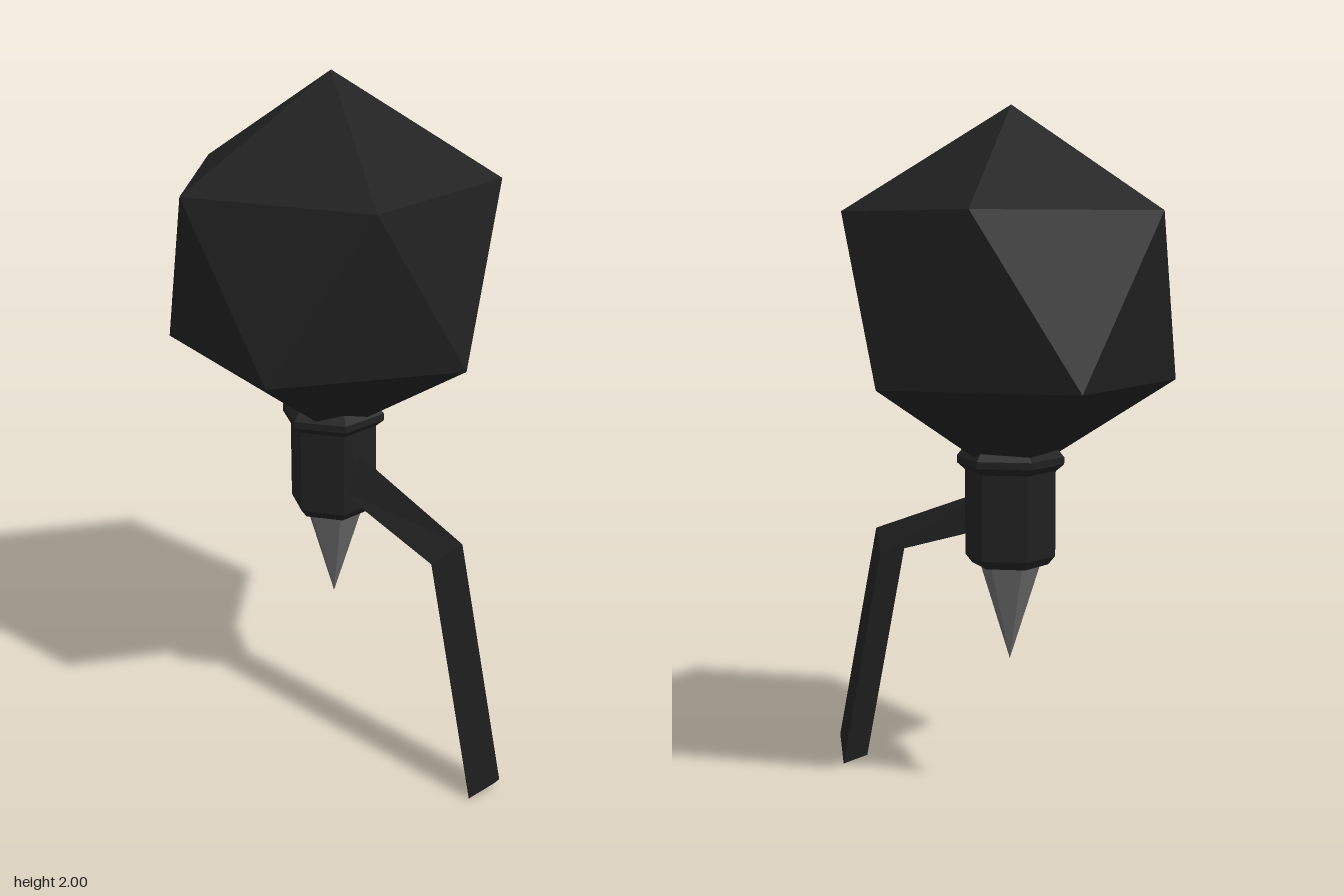
import * as THREE from 'three';

const AXIS_X = -0.105; // vertical axis of the ball, neck and spike

const black = new THREE.MeshStandardMaterial({ color: 0x202020 });
black.name = 'black';
const steel = new THREE.MeshStandardMaterial({ color: 0x686868 });
steel.name = 'steelGrey';

// Faceted mesh: every triangle gets its own flat normal
function facetedMesh(name, geometry, material) {
  const flat = geometry.index ? geometry.toNonIndexed() : geometry;
  flat.computeVertexNormals();
  const mesh = new THREE.Mesh(flat, material);
  mesh.name = name;
  return mesh;
}

// Six-sided turned part from [radius, y] pairs, bottom to top
function hexTurned(profile) {
  return new THREE.LatheGeometry(profile.map(([r, y]) => new THREE.Vector2(r, y)), 6);
}

// Triangular bar: each station is [outer ridge x, y, inner face x, y]
function triangularBar(stations, halfWidth) {
  const positions = [];
  const index = [];
  for (const [ox, oy, ix, iy] of stations) {
    positions.push(ox, oy, 0, ix, iy, halfWidth, ix, iy, -halfWidth);
  }
  for (let i = 0; i < stations.length - 1; i++) {
    for (let k = 0; k < 3; k++) {
      const a = i * 3 + k, b = i * 3 + (k + 1) % 3;
      index.push(a, b, a + 3, b, b + 3, a + 3);
    }
  }
  const e = (stations.length - 1) * 3;
  index.push(0, 2, 1, e, e + 1, e + 2);
  const geometry = new THREE.BufferGeometry();
  geometry.setAttribute('position', new THREE.Float32BufferAttribute(positions, 3));
  geometry.setIndex(index);
  return geometry;
}

export function createModel() {
  const model = new THREE.Group();
  model.name = 'model';

  // Twenty-sided ball standing on one corner
  const ballGeometry = new THREE.IcosahedronGeometry(0.5275, 0);
  ballGeometry.rotateX(-Math.atan((1 + Math.sqrt(5)) / 2));
  ballGeometry.rotateY(THREE.MathUtils.degToRad(-11.7));
  const ball = facetedMesh('ball', ballGeometry, black);
  ball.position.set(AXIS_X, 1.4725, 0);
  model.add(ball);

  // Hexagonal neck with a bevelled foot and a collar under the ball
  const neck = facetedMesh('neck', hexTurned([
    [0, 0.71], [0.11, 0.71], [0.13, 0.735], [0.13, 0.98],
    [0.154, 1.0], [0.154, 1.02], [0.13, 1.05], [0, 1.05],
  ]), black);
  neck.position.x = AXIS_X;
  model.add(neck);

  // Pointed spike below the neck
  const spike = facetedMesh('spike', hexTurned([[0, 0.43], [0.088, 0.712], [0, 0.712]]), steel);
  spike.position.x = AXIS_X;
  model.add(spike);

  // Bent arm, ridge on the outside
  model.add(facetedMesh('arm', triangularBar([
    [-0.03, 0.918, -0.03, 0.805],
    [0.41, 0.755, 0.345, 0.69],
    [0.572, 0.07, 0.507, 0],
  ], 0.055), black));

  return model;
}
